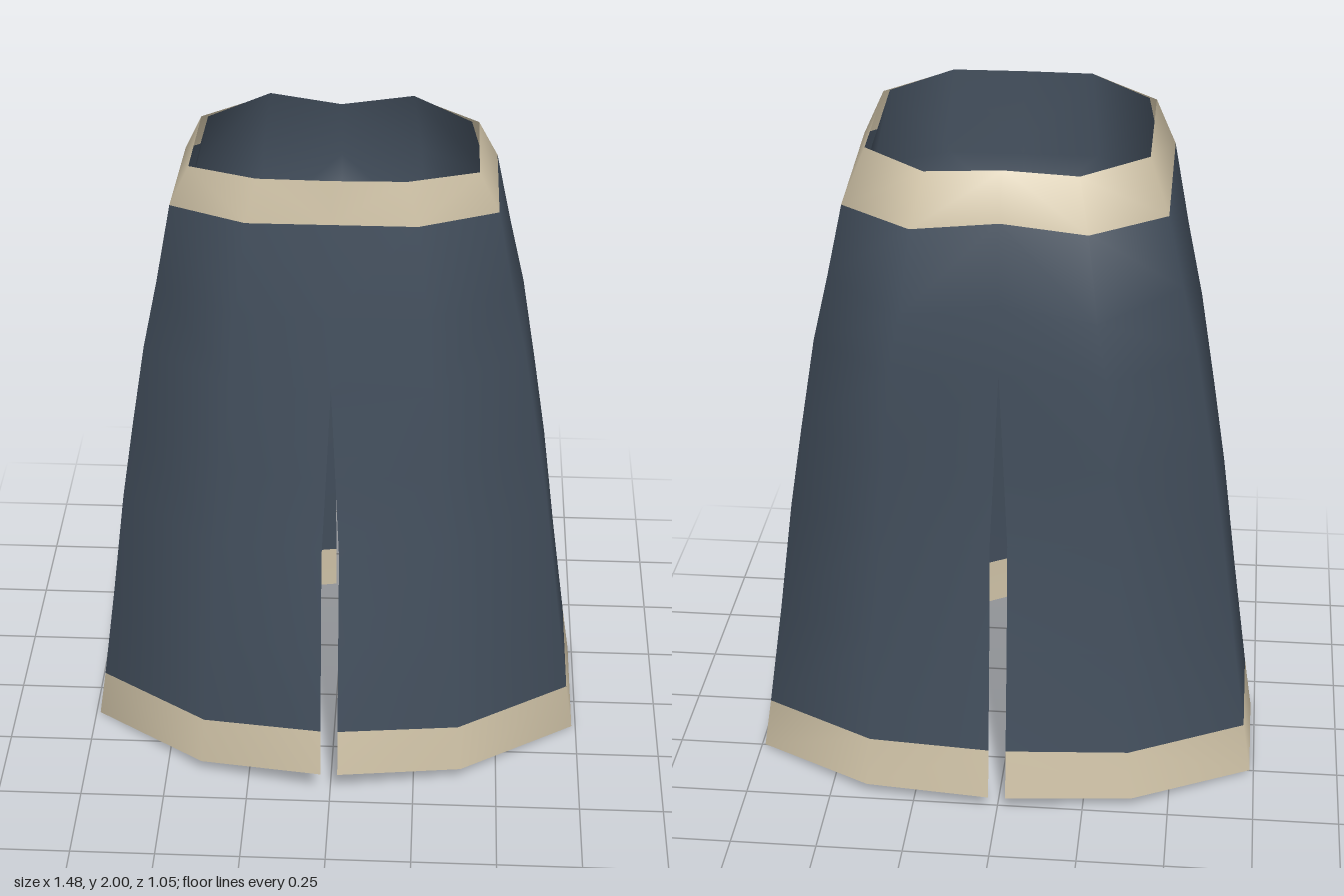
import * as THREE from 'three';
import { mergeVertices } from 'three/addons/utils/BufferGeometryUtils.js';

// Each ring lists one half as [x, y, z]:
// front centre, front corner, side front, side back, back corner, back centre
const waistRings = [
  [[0, 1.995, 0.305], [0.2, 1.995, 0.3], [0.39, 1.965, 0.18], [0.39, 1.93, -0.19], [0.21, 1.925, -0.345], [0, 1.92, -0.305]],
  [[0, 1.87, 0.316], [0.23, 1.87, 0.316], [0.447, 1.84, 0.17], [0.447, 1.79, -0.265], [0.24, 1.79, -0.425], [0, 1.8, -0.388]],
];
const bodyRings = [
  [[0, 1.6, 0.342], [0.26, 1.6, 0.335], [0.492, 1.6, 0.165], [0.492, 1.58, -0.265], [0.27, 1.55, -0.46], [0, 1.58, -0.418]],
  [[0, 1.38, 0.357], [0.28, 1.38, 0.345], [0.538, 1.38, 0.16], [0.538, 1.38, -0.265], [0.3, 1.38, -0.468], [0, 1.38, -0.435]],
  [[0.013, 1.1, 0.383], [0.3, 1.1, 0.355], [0.584, 1.1, 0.15], [0.584, 1.1, -0.265], [0.32, 1.1, -0.452], [0.013, 1.1, -0.44]],
  [[0.025, 0.85, 0.412], [0.32, 0.85, 0.365], [0.623, 0.85, 0.14], [0.623, 0.85, -0.263], [0.34, 0.85, -0.44], [0.025, 0.85, -0.45]],
  [[0.025, 0.55, 0.465], [0.35, 0.52, 0.383], [0.668, 0.5, 0.13], [0.668, 0.5, -0.26], [0.36, 0.51, -0.447], [0.025, 0.52, -0.473]],
];
const hemRings = [
  [[0.025, 0.28, 0.506], [0.38, 0.22, 0.398], [0.714, 0.163, 0.122], [0.714, 0.17, -0.26], [0.38, 0.188, -0.465], [0.025, 0.2, -0.51]],
  [[0.025, 0.127, 0.522], [0.392, 0.062, 0.405], [0.738, 0.002, 0.12], [0.738, 0.01, -0.26], [0.392, 0.035, -0.476], [0.025, 0.045, -0.525]],
];
// Inner shorts: a torso, then two separate legs
const torsoRings = [
  [[0, 2.0, 0.29], [0.2, 2.0, 0.286], [0.37, 1.972, 0.17], [0.37, 1.935, -0.18], [0.205, 1.937, -0.333], [0, 1.925, -0.295]],
  [[0, 1.75, 0.29], [0.22, 1.75, 0.29], [0.42, 1.75, 0.16], [0.42, 1.75, -0.23], [0.23, 1.75, -0.37], [0, 1.75, -0.33]],
  [[0, 1.55, 0.26], [0.23, 1.5, 0.28], [0.455, 1.52, 0.15], [0.455, 1.52, -0.23], [0.24, 1.5, -0.38], [0, 1.55, -0.3]],
];
const legRings = [
  [[0, 1.4, 0.1], [0.22, 1.36, 0.24], [0.48, 1.38, 0.14], [0.48, 1.38, -0.2], [0.23, 1.36, -0.33], [0, 1.4, -0.15]],
  [[0.03, 1.3, 0.1], [0.22, 1.28, 0.21], [0.495, 1.3, 0.14], [0.495, 1.3, -0.19], [0.23, 1.28, -0.3], [0.03, 1.3, -0.15]],
  [[0.2, 0.8, 0.05], [0.37, 0.8, 0.14], [0.57, 0.8, 0.1], [0.57, 0.8, -0.12], [0.36, 0.8, -0.14], [0.2, 0.8, -0.05]],
];

// Skin rings into a mirrored shell. closedFrom: first ring whose halves close into tubes.
function shell(rings, { inward = false, closedFrom = Infinity, bandOf = () => 0 } = {}) {
  const positions = [], index = [], geometry = new THREE.BufferGeometry();
  const n = rings[0].length;
  for (const side of [1, -1])
    for (const ring of rings)
      for (const [x, y, z] of ring) positions.push(side * x, y, z);
  for (let r = 0; r < rings.length - 1; r++) {
    const start = index.length;
    for (const side of [0, 1]) {
      const base = (side * rings.length + r) * n;
      const flip = (side === 1) !== inward;
      for (let c = 0; c < (r >= closedFrom ? n : n - 1); c++) {
        const a = base + c, b = base + (c + 1) % n, d = a + n, e = b + n;
        if (flip) index.push(a, b, d, b, e, d);
        else index.push(a, d, b, b, d, e);
      }
    }
    geometry.addGroup(start, index.length - start, bandOf(r));
  }
  geometry.setAttribute('position', new THREE.Float32BufferAttribute(positions, 3));
  geometry.setIndex(index);
  const merged = mergeVertices(geometry, 1e-4);
  merged.computeVertexNormals();
  return merged;
}

export function createModel() {
  const model = new THREE.Group();
  model.name = 'slitSkirt';

  const navy = new THREE.MeshStandardMaterial({ color: 0x434f5d, side: THREE.DoubleSide });
  navy.name = 'navyCloth';
  const beige = new THREE.MeshStandardMaterial({ color: 0xd3c6aa, side: THREE.DoubleSide });
  beige.name = 'beigeTrim';
  const lining = navy.clone();
  lining.side = THREE.FrontSide;

  // Outer skirt: beige waistband and hem, navy cloth between, slit front and back
  const rings = [...waistRings, ...bodyRings, ...hemRings];
  const last = rings.length - 2;
  const skirt = new THREE.Mesh(
    shell(rings, { bandOf: r => (r === 0 || r === last ? 1 : 0) }), [navy, beige]);
  skirt.name = 'skirt';
  model.add(skirt);

  // Inner shorts, seen from inside through the waist
  const inner = [...torsoRings, ...legRings];
  const shorts = new THREE.Mesh(
    shell(inner, { inward: true, closedFrom: torsoRings.length }), [lining]);
  shorts.name = 'innerShorts';
  model.add(shorts);

  return model;
}
